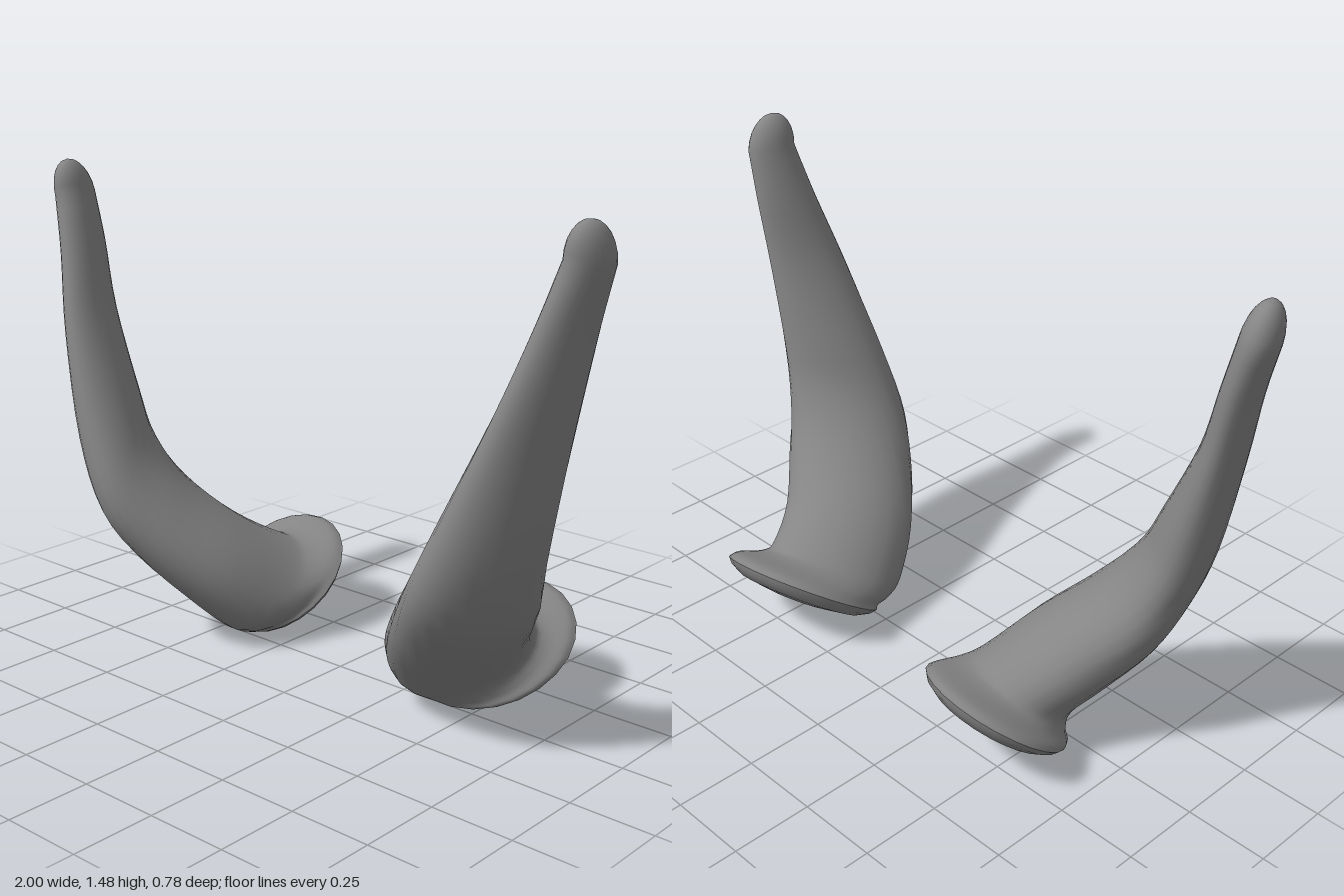
import * as THREE from 'three';
import { mergeVertices } from 'three/addons/utils/BufferGeometryUtils.js';

const SIDES = 24;
const STEPS = 4; // interpolated rings per section
const V = (a) => new THREE.Vector3(...a);

// Elliptical sections of the left horn, base to tip: centre, half-axis across, half-axis front to back
const SECTIONS = [
  [[0.43, 0.15, -0.19], [0.238, 0, -0.04], [-0.01, 0.14, -0.195]],
  [[0.432, 0.155, -0.165], [0.225, 0, -0.038], [-0.01, 0.14, -0.185]],
  [[0.42, 0.15, -0.105], [0.2, 0, -0.045], [0, 0.12, -0.15]],
  [[0.425, 0.175, -0.05], [0.18, 0, -0.06], [0.01, 0.108, -0.15]],
  [[0.49, 0.265, 0.06], [0.165, -0.03, -0.075], [0.03, 0.105, -0.13]],
  [[0.595, 0.395, 0.165], [0.148, -0.04, -0.06], [0.06, 0.1, -0.135]],
  [[0.677, 0.54, 0.23], [0.11, -0.05, -0.03], [0.07, 0.08, -0.155]],
  [[0.748, 0.72, 0.238], [0.093, -0.04, -0.01], [0.05, 0.04, -0.147]],
  [[0.84, 1.0, 0.22], [0.062, -0.02, 0], [0.035, 0.02, -0.12]],
  [[0.9, 1.22, 0.19], [0.053, -0.01, 0], [0.02, 0.01, -0.095]],
  [[0.946, 1.38, 0.175], [0.052, -0.01, 0], [0.01, 0, -0.075]],
].map((s) => s.map(V));

// Skin over a list of [centre, axisA, axisB] rings; side = -1 mirrors it in x
function skin(rings, side) {
  const pos = [], index = [];
  for (const [c, a, b] of rings) {
    for (let j = 0; j < SIDES; j++) {
      const t = (j / SIDES) * Math.PI * 2;
      const p = c.clone().addScaledVector(a, Math.cos(t)).addScaledVector(b, Math.sin(t));
      pos.push(p.x * side, p.y, p.z);
    }
  }
  for (let i = 0; i < rings.length - 1; i++) {
    for (let j = 0; j < SIDES; j++) {
      const k = (j + 1) % SIDES;
      const a = i * SIDES + j, b = i * SIDES + k, c = a + SIDES, d = b + SIDES;
      if (side > 0) index.push(a, b, c, b, d, c);
      else index.push(a, c, b, b, c, d);
    }
  }
  let geo = new THREE.BufferGeometry();
  geo.setAttribute('position', new THREE.Float32BufferAttribute(pos, 3));
  geo.setIndex(index);
  geo = mergeVertices(geo, 1e-5);
  geo.computeVertexNormals();
  return geo;
}

// Smoothly interpolated shaft sections, closed by a rounded tip
function shaftRings() {
  const curves = [0, 1, 2].map(
    (k) => new THREE.CatmullRomCurve3(SECTIONS.map((s) => s[k]), false, 'catmullrom', 0.5));
  const n = (SECTIONS.length - 1) * STEPS;
  const rings = [];
  for (let i = 0; i <= n; i++) rings.push(curves.map((c) => c.getPoint(i / n)));
  const [c, a, b] = SECTIONS[SECTIONS.length - 1];
  const tip = V([0.957, 1.485, 0.192]);
  for (const t of [0.25, 0.5, 0.7, 0.85, 0.95, 1]) {
    const s = Math.sqrt(1 - t * t);
    rings.push([c.clone().lerp(tip, t), a.clone().multiplyScalar(s), b.clone().multiplyScalar(s)]);
  }
  return rings;
}

// Domed underside of the flared base
function baseRings() {
  const [c, a, b] = SECTIONS[0];
  const normal = a.clone().cross(b).normalize();
  return [[0, 0.055], [0.45, 0.052], [0.8, 0.037], [0.94, 0.018], [1, 0]].map(([s, d]) => [
    c.clone().addScaledVector(normal, -d), a.clone().multiplyScalar(s), b.clone().multiplyScalar(s)]);
}

export function createModel() {
  const model = new THREE.Group();
  model.name = 'hornPair';
  const material = new THREE.MeshStandardMaterial({ color: 0x858585 });
  for (const [name, side] of [['leftHorn', 1], ['rightHorn', -1]]) {
    const horn = new THREE.Group();
    horn.name = name;
    const shaft = new THREE.Mesh(skin(shaftRings(), side), material);
    shaft.name = 'shaft';
    const base = new THREE.Mesh(skin(baseRings(), side), material);
    base.name = 'base';
    horn.add(shaft, base);
    model.add(horn);
  }
  return model;
}
